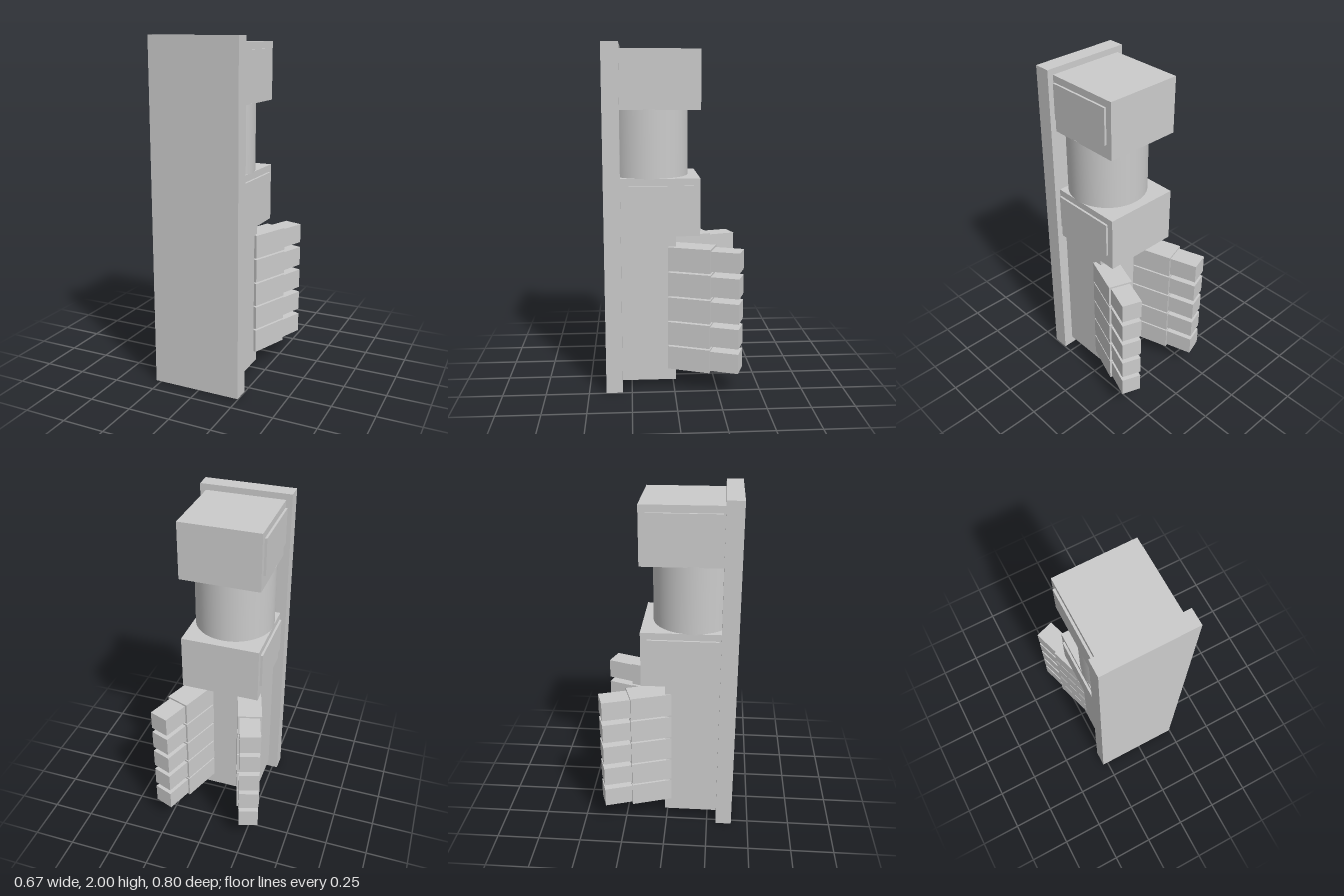
import * as THREE from 'three';

export function createModel() {
  const model = new THREE.Group();
  const material = new THREE.MeshStandardMaterial({ color: 0xcccccc });
  const cx = -0.018; // centre line of the housing

  // Box given by its size and centre
  function box(name, w, h, d, x, y, z, parent = model) {
    const mesh = new THREE.Mesh(new THREE.BoxGeometry(w, h, d), material);
    mesh.name = name;
    mesh.position.set(x, y, z);
    parent.add(mesh);
    return mesh;
  }

  // Tall front plate and lower body
  box('frontPlate', 0.53, 2, 0.095, cx, 1, 0.3525);
  box('lowerBody', 0.405, 0.88, 0.317, cx, 0.49, 0.1475);

  // Two wide blocks, each with a raised panel on both sides
  for (const [name, y] of [['lowerBlock', 1.09], ['upperBlock', 1.8]]) {
    box(name, 0.46, 0.33, 0.452, cx, y, 0.08);
    for (const side of [-1, 1]) {
      box(name + 'SidePanel', 0.026, 0.21, 0.402, cx + side * 0.23, y + 0.02, 0.092);
    }
  }

  // Drum between the blocks
  const drum = new THREE.Mesh(new THREE.CylinderGeometry(0.232, 0.232, 0.39, 48), material);
  drum.name = 'drum';
  drum.position.set(cx, 1.445, 0.142);
  model.add(drum);

  // Two splayed stacks of five stepped fingers at the back
  const stacks = [
    { name: 'leftFingers', x: 0.221, z: -0.2215, angle: -0.35 },
    { name: 'rightFingers', x: -0.228, z: -0.224, angle: 0.314 },
  ];
  for (const { name, x, z, angle } of stacks) {
    const stack = new THREE.Group();
    stack.name = name;
    stack.position.set(x, 0, z); // pivot at the step between root and tip
    stack.rotation.y = angle;
    for (let i = 0; i < 5; i++) {
      const y = 0.194 + i * 0.149;
      box('fingerRoot', 0.142, 0.139, 0.25, 0, y, 0.125, stack);
      box('fingerTip', 0.118, 0.117, 0.186, 0, y, -0.073, stack);
    }
    model.add(stack);
  }

  return model;
}
